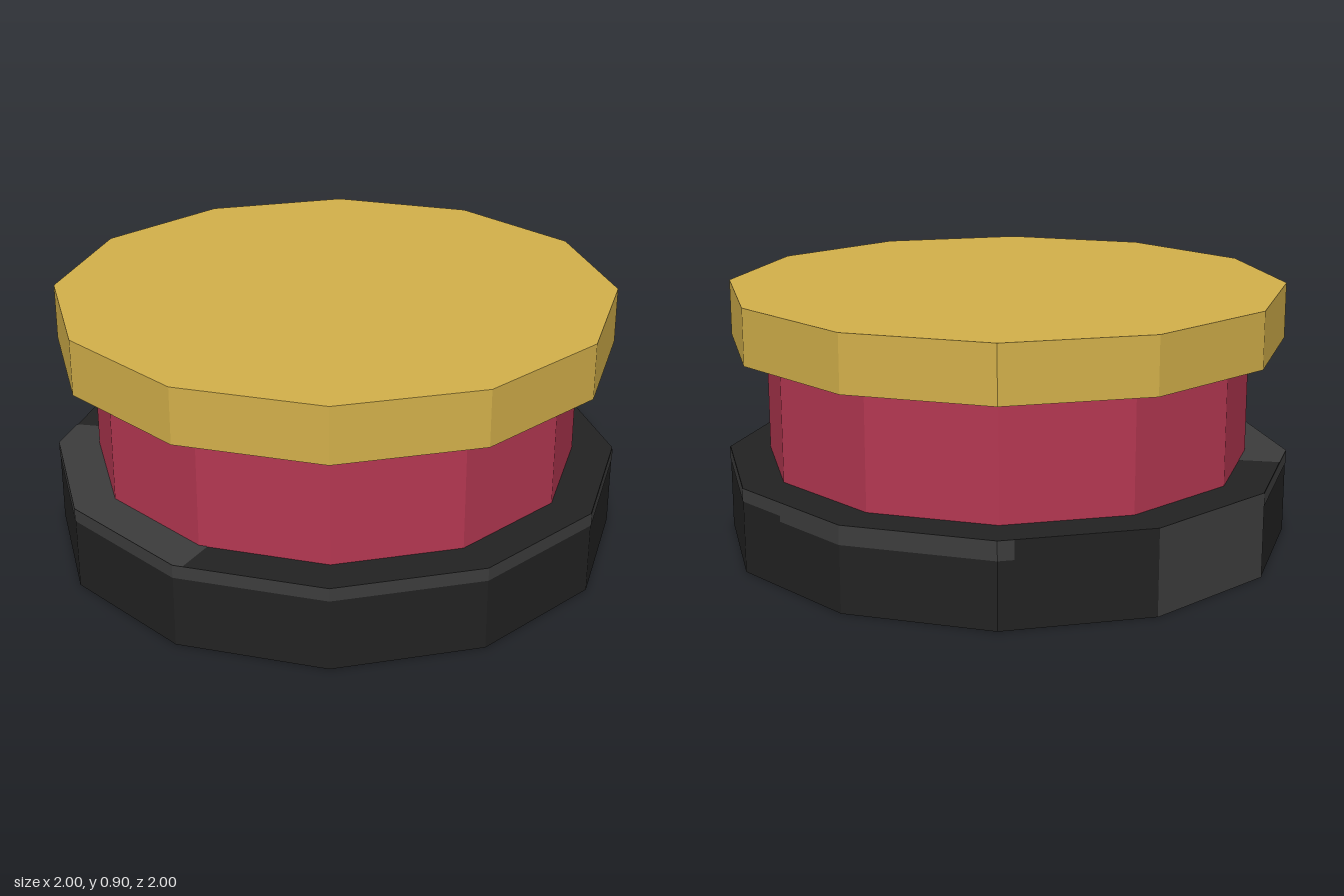
import * as THREE from 'three';

const SIDES = 12;
const STEP = 360 / SIDES;

function flat(name, hex) {
  const m = new THREE.MeshStandardMaterial({ color: hex, flatShading: true });
  m.name = name;
  return m;
}

// Point on a twelve-sided outline at an angle in degrees (0 = front, 90 = +x)
function outline(deg, radius) {
  const half = THREE.MathUtils.degToRad(STEP / 2);
  const a = THREE.MathUtils.degToRad(deg);
  const local = THREE.MathUtils.euclideanModulo(a, 2 * half) - half;
  const r = radius * Math.cos(half) / Math.cos(local);
  return [Math.sin(a) * r, Math.cos(a) * r];
}

// Strip of quads between two levels [radius, y], following the outline's corners
function strip(from, to, low, high) {
  const angles = [from];
  for (let a = (Math.floor(from / STEP) + 1) * STEP; a < to; a += STEP) angles.push(a);
  angles.push(to);
  const pos = [];
  const at = (deg, [radius, y]) => {
    const [x, z] = outline(deg, radius);
    return [x, y, z];
  };
  for (let i = 0; i < angles.length - 1; i++) {
    const a = at(angles[i], low), b = at(angles[i + 1], low);
    const c = at(angles[i + 1], high), d = at(angles[i], high);
    pos.push(...a, ...b, ...c, ...a, ...c, ...d);
  }
  const g = new THREE.BufferGeometry();
  g.setAttribute('position', new THREE.Float32BufferAttribute(pos, 3));
  g.computeVertexNormals();
  return g;
}

export function createModel() {
  const group = new THREE.Group();
  const black = flat('black', 0x222222);
  const grey = flat('worn grey', 0x3c3c3c);
  const red = flat('crimson', 0xb43751);
  const gold = flat('gold', 0xd2af4a);

  const add = (name, geometry, material) => {
    const mesh = new THREE.Mesh(geometry, material);
    mesh.name = name;
    group.add(mesh);
  };
  const drum = (name, radius, y0, y1, material) => {
    const g = new THREE.CylinderGeometry(radius, radius, y1 - y0, SIDES);
    g.translate(0, (y0 + y1) / 2, 0);
    add(name, g, material);
  };

  // Stacked drums
  const top = 0.295;
  drum('base', 0.998, 0, top, black);
  drum('body', 0.853, top, 0.71, red);
  drum('lid', 0.977, 0.71, 0.905, gold);

  // Worn grey rim around the base: [from, to, lower edge]
  const R = 1;
  const rim = [[-150, 102, 0.25], [102, 153, 0.23], [180, 210, 0]];
  for (const [from, to, y] of rim) {
    add('wornRim', strip(from, to, [R, y], [R, top]), grey);
  }

  // Worn patch on the base's upper ledge
  add('wornLedge', strip(231, 302, [R, top + 0.002], [0.853, top + 0.002]), grey);

  return group;
}
